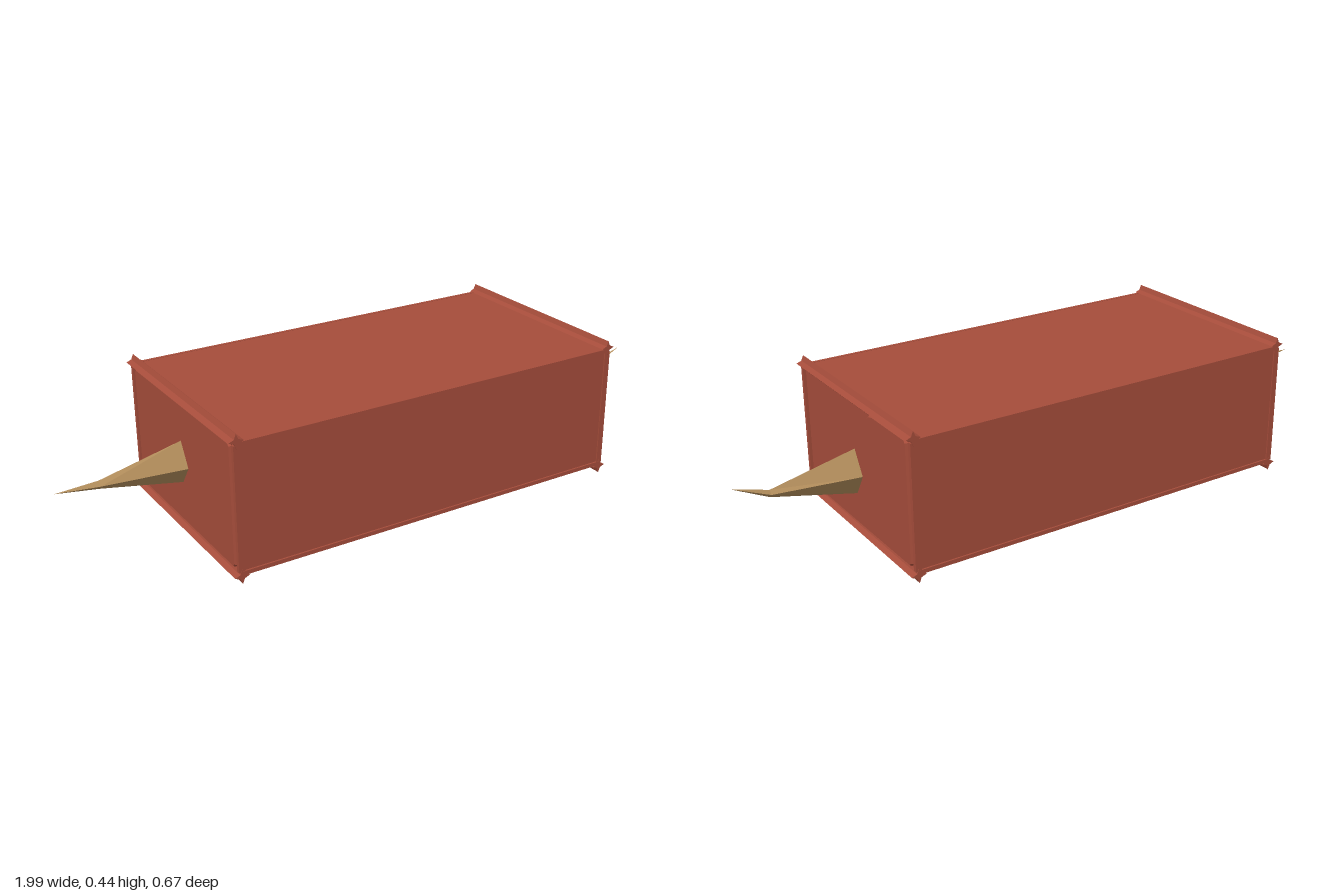
import * as THREE from 'three';

const brick = new THREE.MeshStandardMaterial({ color: 0xa64d3b });
brick.name = 'brick red';
const horn = new THREE.MeshStandardMaterial({ color: 0xb38e5c });
horn.name = 'tan spike';

function add(parent, name, geometry, material, x = 0, y = 0, z = 0) {
  const mesh = new THREE.Mesh(geometry, material);
  mesh.name = name;
  mesh.position.set(x, y, z);
  parent.add(mesh);
  return mesh;
}

// Raised end panel: outline in (depth, height), extruded outwards along x
function endPanel(points, side) {
  const shape = new THREE.Shape(points.map(([z, y]) => new THREE.Vector2(-z * side, y)));
  const geometry = new THREE.ExtrudeGeometry(shape, {
    depth: 0.006, bevelEnabled: true, bevelThickness: 0.01, bevelSize: 0.006, bevelOffset: -0.006, bevelSegments: 1,
  });
  geometry.rotateY(side * Math.PI / 2);
  return geometry;
}

// Four-sided spike: rings of [x, bottom, middle, top, half width], then a tip
function spikeGeometry(rings, tip, side) {
  const positions = [];
  const corners = rings.map(([x, bottom, middle, top, w]) => [
    [x * side, top, 0], [x * side, middle, w], [x * side, bottom, 0], [x * side, middle, -w],
  ]);
  const triangle = (a, b, c) => positions.push(...a, ...(side > 0 ? b : c), ...(side > 0 ? c : b));
  const point = [tip[0] * side, tip[1], 0];
  for (let i = 0; i < 4; i++) {
    const j = (i + 1) % 4;
    for (let r = 0; r < corners.length - 1; r++) {
      const [a, b] = [corners[r], corners[r + 1]];
      triangle(a[i], a[j], b[j]);
      triangle(a[i], b[j], b[i]);
    }
    const last = corners[corners.length - 1];
    triangle(last[i], last[j], point);
  }
  const geometry = new THREE.BufferGeometry();
  geometry.setAttribute('position', new THREE.Float32BufferAttribute(positions, 3));
  geometry.computeVertexNormals();
  return geometry;
}

export function createModel() {
  const model = new THREE.Group();
  model.name = 'spikedBrick';

  // Block, slightly recessed inside its edge rails
  add(model, 'block', new THREE.BoxGeometry(1.246, 0.385, 0.656), brick, 0, 0.2185, 0);

  // Long rails along the front and back edges
  for (const y of [0.031, 0.406]) {
    for (const z of [-0.328, 0.328]) {
      add(model, 'longRail', new THREE.BoxGeometry(1.24, 0.012, 0.01), brick, 0, y, z);
    }
  }

  // Star-section ridges along the four end edges
  const star = new THREE.Shape();
  for (let i = 0; i < 8; i++) {
    const r = i % 2 ? 0.009 : 0.022;
    const a = i * Math.PI / 4;
    star[i ? 'lineTo' : 'moveTo'](r * Math.cos(a), r * Math.sin(a));
  }
  const ridge = new THREE.ExtrudeGeometry(star, { depth: 0.666, bevelEnabled: false });
  ridge.translate(0, 0, -0.333);
  for (const x of [-0.623, 0.623]) {
    for (const y of [0.022, 0.415]) add(model, 'edgeRidge', ridge, brick, x, y, 0);
    // Upright corner strips
    for (const z of [-0.326, 0.326]) {
      add(model, 'cornerStrip', new THREE.BoxGeometry(0.018, 0.37, 0.012), brick, x, 0.2185, z);
    }
  }

  // Left end has a cut-away panel, right end a full one
  add(model, 'leftEndPanel', endPanel([
    [0.27, 0.034], [-0.08, 0.388], [-0.095, 0.4], [-0.12, 0.405], [-0.298, 0.405],
    [-0.308, 0.395], [-0.31, 0.045], [-0.3, 0.034],
  ], 1), brick, 0.616, 0, 0);
  add(model, 'rightEndPanel', endPanel([
    [0.3, 0.034], [0.31, 0.045], [0.31, 0.395], [0.3, 0.405],
    [-0.3, 0.405], [-0.31, 0.395], [-0.31, 0.045], [-0.3, 0.034],
  ], -1), brick, -0.616, 0, 0);

  // Bent spikes, one on each end
  add(model, 'leftSpike', spikeGeometry([
    [0.61, 0.124, 0.196, 0.273, 0.044],
    [0.638, 0.131, 0.196, 0.265, 0.041],
    [0.885, 0.188, 0.199, 0.21, 0.011],
  ], [0.99, 0.24], 1), horn);
  add(model, 'rightSpike', spikeGeometry([
    [0.61, 0.158, 0.22, 0.297, 0.043],
    [0.638, 0.164, 0.22, 0.289, 0.04],
    [0.875, 0.208, 0.22, 0.233, 0.013],
  ], [1, 0.226], -1), horn);

  return model;
}
